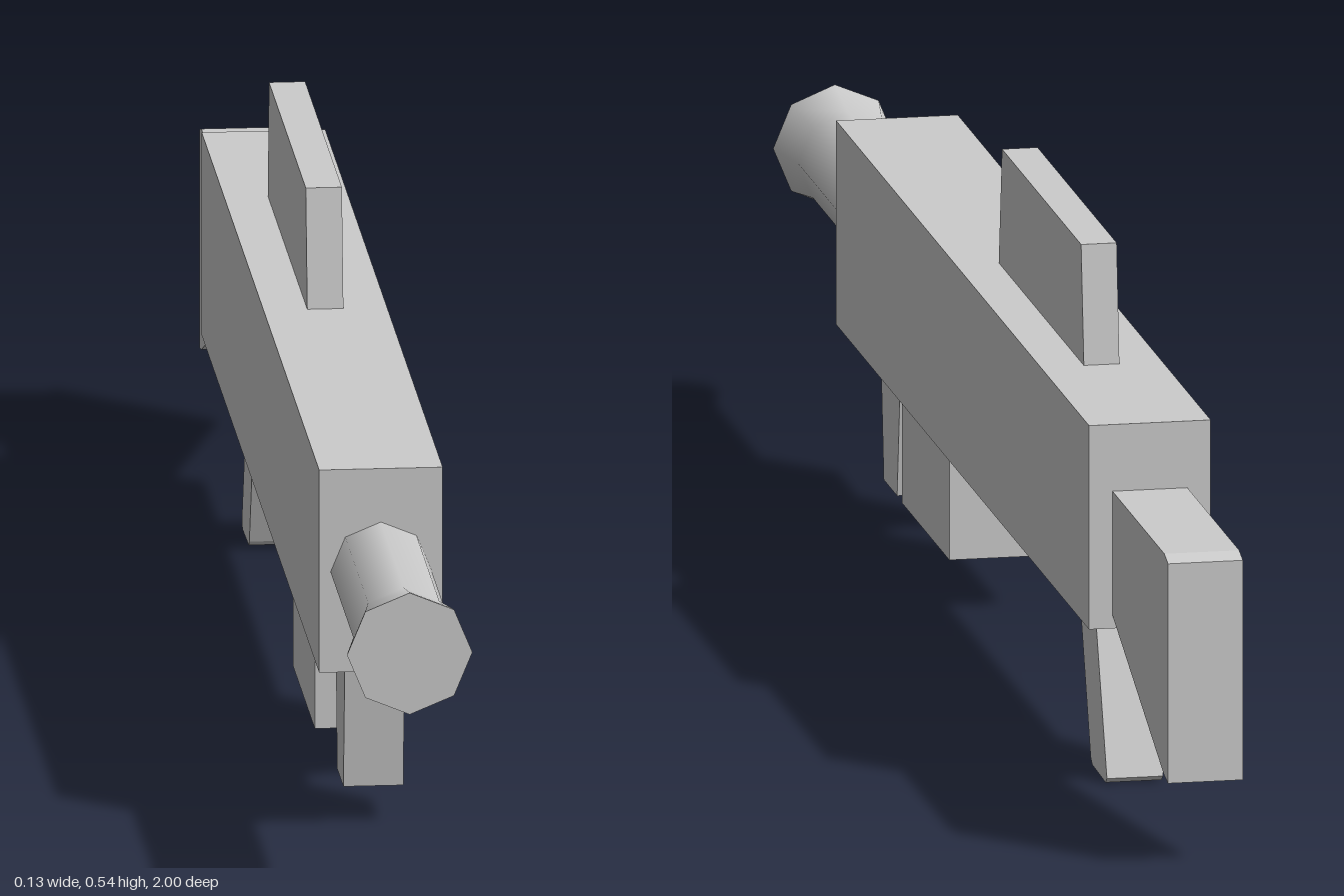
import * as THREE from 'three';

export function createModel() {
  const model = new THREE.Group();
  const grey = new THREE.MeshStandardMaterial({ color: 0xcccccc });
  grey.name = 'light grey';

  const add = (name, geometry) => {
    const mesh = new THREE.Mesh(geometry, grey);
    mesh.name = name;
    model.add(mesh);
    return mesh;
  };

  // Side outline given as [z, y] points, extruded to a width centred on x = 0
  const slab = (name, width, outline, hole) => {
    const points = (list) => list.map(([z, y]) => new THREE.Vector2(-z, y));
    const shape = new THREE.Shape(points(outline));
    if (hole) shape.holes.push(new THREE.Path(points(hole)));
    const geometry = new THREE.ExtrudeGeometry(shape, { depth: width, bevelEnabled: false });
    geometry.translate(0, 0, -width / 2).rotateY(Math.PI / 2);
    return add(name, geometry);
  };

  // Main housing and the box hanging below it
  slab('body', 0.13, [[0.665, 0.188], [-0.7, 0.188], [-0.7, 0.408], [0.665, 0.408]]);
  slab('magazine', 0.092, [[0.405, 0.057], [0.15, 0.057], [0.15, 0.19], [0.405, 0.19]]);

  // Tapered sight block on top
  slab('sight', 0.038, [[0.02, 0.405], [-0.44, 0.405], [-0.425, 0.535], [0.002, 0.535]]);

  // Shoulder stock with a slightly chamfered butt
  slab('stock', 0.08, [
    [-0.69, 0.206], [-0.978, 0.097], [-1, 0.093], [-1, 0.33], [-0.98, 0.336], [-0.69, 0.336],
  ]);

  // Grips
  slab('foregrip', 0.063, [[0.595, 0.19], [0.577, 0.04], [0.505, 0.04], [0.485, 0.19]]);
  slab('rearGrip', 0.06, [
    [-0.465, 0.19], [-0.532, 0.008], [-0.54, 0.002], [-0.612, 0], [-0.62, 0.006], [-0.55, 0.19],
  ]);

  // Trigger and its guard
  slab('triggerGuard', 0.02,
    [[-0.358, 0.19], [-0.358, 0.145], [-0.475, 0.145], [-0.475, 0.19]],
    [[-0.366, 0.186], [-0.366, 0.152], [-0.467, 0.152], [-0.467, 0.186]]);
  slab('trigger', 0.012, [[-0.418, 0.19], [-0.428, 0.16], [-0.436, 0.16], [-0.432, 0.19]]);

  // Eight-sided barrel flaring at the muzzle
  const profile = [[0.053, 0.655], [0.053, 0.93], [0.064, 0.988], [0.066, 1]];
  const barrel = new THREE.LatheGeometry(profile.map(([r, z]) => new THREE.Vector2(r, z)), 8);
  add('barrel', barrel.rotateX(Math.PI / 2)).position.y = 0.297;
  add('muzzleFace', new THREE.CircleGeometry(0.066, 8)).position.set(0, 0.297, 1);

  return model;
}
